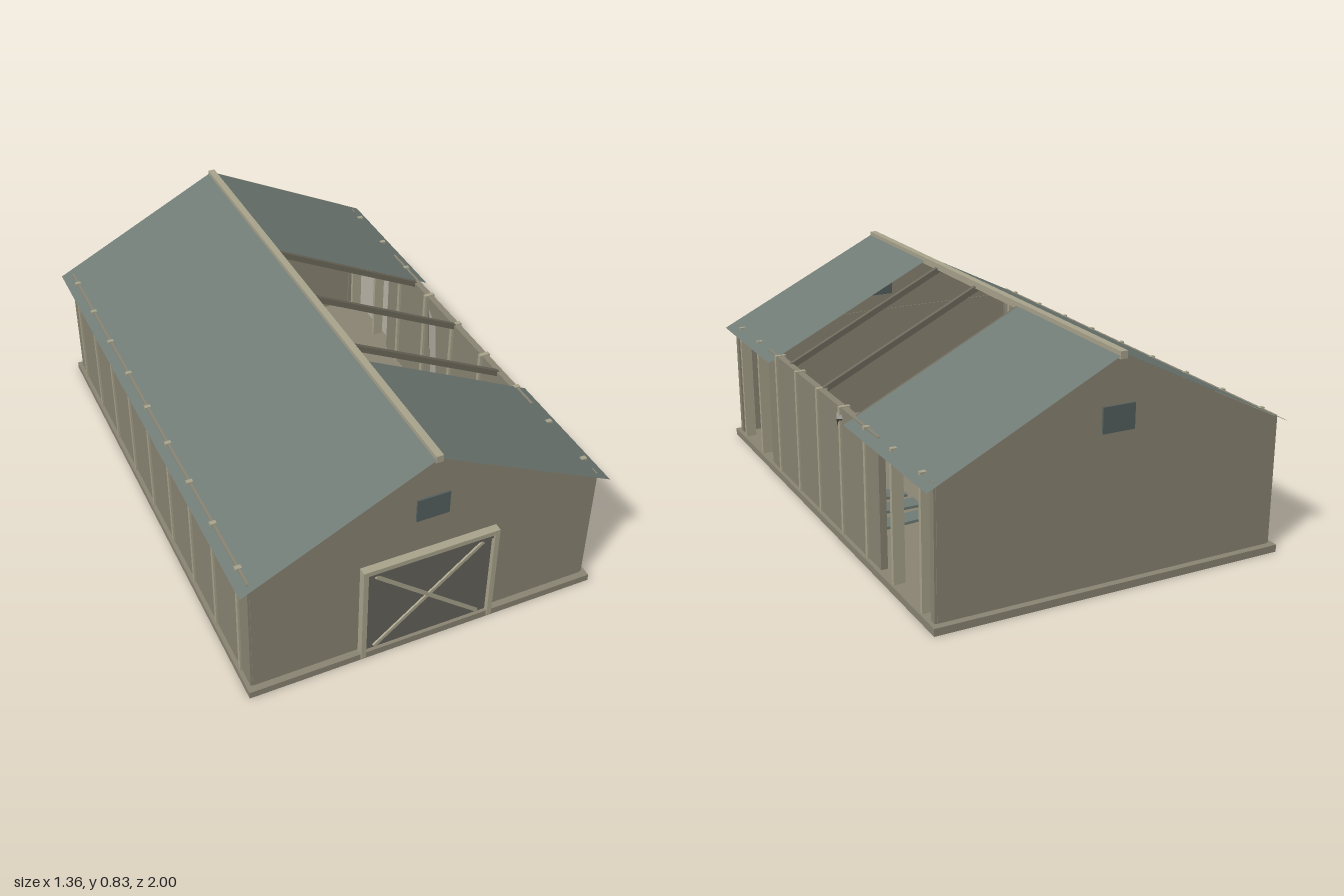
import * as THREE from 'three';

const mat = (color, side = THREE.FrontSide) => new THREE.MeshStandardMaterial({ color, side });

export function createModel() {
  const barn = new THREE.Group();
  barn.name = 'barn';
  const wall = mat(0x8a8573), trim = mat(0xa8a48c), doorMat = mat(0x66625a);
  const roofMat = mat(0x707b75, THREE.DoubleSide), glass = mat(0x55615f), timber = mat(0x6e6a5c);

  const add = (name, geometry, material) => {
    const mesh = new THREE.Mesh(geometry, material);
    mesh.name = name;
    barn.add(mesh);
    return mesh;
  };
  // box given by its limits on each axis
  const box = (name, m, x0, x1, y0, y1, z0, z1) => {
    const b = add(name, new THREE.BoxGeometry(x1 - x0, y1 - y0, z1 - z0), m);
    b.position.set((x0 + x1) / 2, (y0 + y1) / 2, (z0 + z1) / 2);
    return b;
  };
  // square-cut timber running between two points
  const beam = (name, m, from, to, w, h) => {
    const a = new THREE.Vector3(...from), b = new THREE.Vector3(...to);
    const mesh = add(name, new THREE.BoxGeometry(w, h, a.distanceTo(b)), m);
    mesh.position.copy(a).add(b).multiplyScalar(0.5);
    mesh.lookAt(b);
    return mesh;
  };

  const apex = 0.817, eaveX = 0.68, eaveY = 0.48;
  const roofY = x => apex - (apex - eaveY) * Math.abs(x) / eaveX;

  // Foundation and floor
  box('foundation', wall, -0.66, 0.66, 0, 0.027, -0.995, 0.995);

  // Side walls: the left is whole, the right keeps only its middle
  box('leftWall', wall, -0.645, -0.62, 0.027, 0.502, -0.965, 0.965);
  box('rightWall', wall, 0.62, 0.645, 0.027, 0.502, -0.55, 0.55);

  // Posts along both sides
  for (const s of [-1, 1]) {
    for (let i = -4; i <= 4; i++) {
      const z = i * 0.221;
      box('sidePost', trim, Math.min(s * 0.61, s * 0.652), Math.max(s * 0.61, s * 0.652),
        0.027, 0.505, z - 0.008, z + 0.008);
    }
  }

  // End walls with gables, vents and corner posts
  const gable = new THREE.Shape();
  gable.moveTo(-0.637, 0.487);
  gable.lineTo(0.637, 0.487);
  gable.lineTo(0.637, roofY(0.637) - 0.003);
  gable.lineTo(0, apex - 0.003);
  gable.lineTo(-0.637, roofY(0.637) - 0.003);
  gable.closePath();
  for (const s of [-1, 1]) {
    const zs = (a, b) => [Math.min(s * a, s * b), Math.max(s * a, s * b)];
    box('endWall', wall, -0.637, 0.637, 0.027, 0.487, ...zs(0.945, 0.97));
    const g = add('gable', new THREE.ExtrudeGeometry(gable, { depth: 0.025, bevelEnabled: false }), wall);
    g.position.z = s > 0 ? 0.948 : -0.973;
    box('gableWindow', glass, -0.06, 0.06, 0.555, 0.645, ...zs(0.94, 0.98));
    for (const x of [-0.632, 0.632]) {
      box('cornerPost', wall, x - 0.013, x + 0.013, 0.027, 0.5, ...zs(0.94, 0.968));
    }
  }

  // Large front door with frame, track and crossed braces
  box('door', doorMat, -0.235, 0.235, 0.027, 0.378, 0.965, 0.982);
  box('doorTrack', doorMat, -0.235, 0.235, 0.378, 0.4, 0.965, 0.992);
  box('doorLintel', trim, -0.253, 0.253, 0.398, 0.416, 0.965, 1);
  for (const s of [-1, 1]) {
    box('doorJamb', trim, s * 0.244 - 0.009, s * 0.244 + 0.009, 0.008, 0.398, 0.965, 1);
    beam('doorBrace', trim, [-0.2, 0.203 - s * 0.166, 0.984], [0.2, 0.203 + s * 0.166, 0.984], 0.01, 0.013);
  }

  // Roof sheets: the right slope has lost its middle
  const roofSheet = (name, s, z0, z1) => {
    const sheet = add(name, new THREE.PlaneGeometry(Math.hypot(eaveX, apex - eaveY), z1 - z0), roofMat);
    sheet.rotation.set(-Math.PI / 2, s * Math.atan2(apex - eaveY, eaveX), 0);
    sheet.position.set(s * eaveX / 2, (apex + eaveY) / 2, (z0 + z1) / 2);
  };
  roofSheet('leftRoof', -1, -0.995, 0.995);
  roofSheet('rightRoofFront', 1, 0.44, 0.995);
  roofSheet('rightRoofBack', 1, -0.995, -0.335);
  box('ridgeBeam', trim, -0.013, 0.013, 0.8, 0.826, -0.995, 0.995);

  // Rafters under both slopes
  for (const s of [-1, 1]) {
    for (let i = -2; i <= 2; i++) {
      const z = i * 0.33;
      beam('rafter', timber, [0, apex - 0.014, z], [s * 0.625, roofY(0.625) - 0.014, z], 0.016, 0.022);
    }
  }

  // Fallen rafter and loose roof sheets on the floor
  beam('fallenRafter', timber, [0.65, 0.475, -0.23], [0.44, 0.04, 0.22], 0.025, 0.025);
  [-0.235, -0.11, 0.015].forEach((z, i) => {
    const sheet = box('fallenSheet', roofMat, 0.31, 0.6, 0.034, 0.044, z - 0.037, z + 0.037);
    sheet.rotation.z = (i - 1) * 0.05;
  });

  return barn;
}
